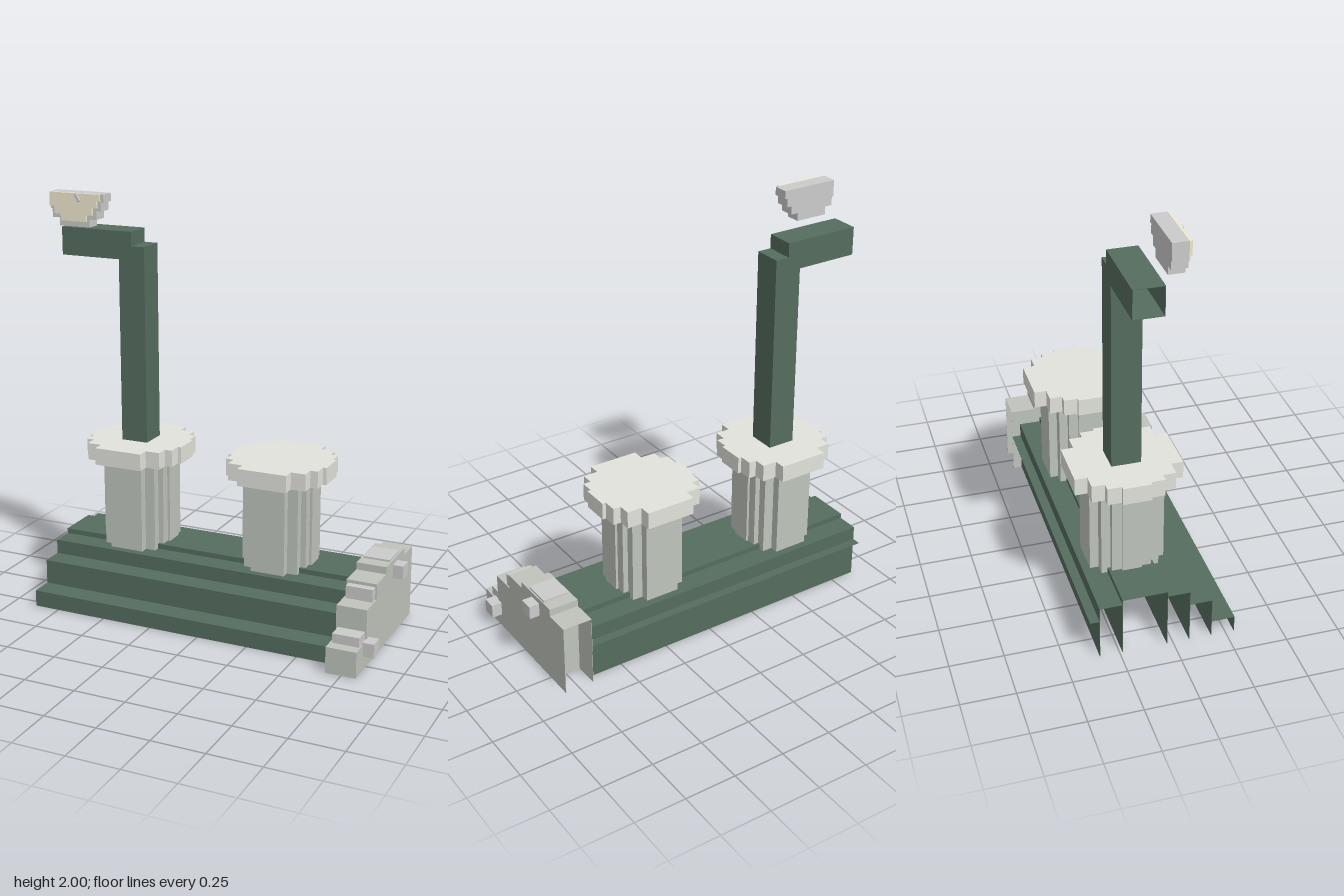
import * as THREE from 'three';
import { mergeGeometries } from 'three/addons/utils/BufferGeometryUtils.js';

const mat = (color) => new THREE.MeshStandardMaterial({ color, flatShading: true, side: THREE.DoubleSide });
const green = mat(0x556d5e), stone = mat(0xbfc4bc), pale = mat(0xe2e3dc), cream = mat(0xf0eacd), grey = mat(0xcccccc);
const CZ = -0.132; // axis of the stepped parts
const BACK = -0.385; // the shell is cut off here
const T = 0.002; // sheet thickness

// Box from its limits; a flat side becomes a thin sheet
function span(x0, x1, y0, y1, z0, z1) {
  const g = new THREE.BoxGeometry(Math.max(x1 - x0, T), Math.max(y1 - y0, T), Math.max(z1 - z0, T));
  return g.translate((x0 + x1) / 2, (y0 + y1) / 2, (z0 + z1) / 2);
}

function add(parent, name, geos, material) {
  const mesh = new THREE.Mesh(geos.length > 1 ? mergeGeometries(geos) : geos[0], material);
  mesh.name = name;
  parent.add(mesh);
  return mesh;
}

// Stepped half-drum shell, open below, with every riser running to the floor
function steppedShell(halves, tops, x0, x1, ends) {
  const geos = [];
  halves.forEach((h, i) => {
    const inner = halves[i + 1] ?? 0;
    for (const s of [1, -1]) {
      const z = CZ + s * h;
      const a = Math.max(Math.min(z, CZ + s * inner), BACK);
      const b = Math.max(z, CZ + s * inner);
      if (b <= BACK) continue;
      geos.push(span(x0, x1, tops[i] - T, tops[i], a, b));
      if (z > BACK) geos.push(span(x0, x1, 0, tops[i], s > 0 ? z - T : z, s > 0 ? z : z + T));
      for (const x of ends) geos.push(span(x, x + T, 0, tops[i], a, b));
    }
  });
  return geos;
}

// Upright stepped "round" prism
function steppedPrism(r, y0, y1) {
  const q = [[1, 0.265], [0.93, 0.265], [0.93, 0.53], [0.78, 0.53], [0.78, 0.77], [0.49, 0.77], [0.49, 1]];
  const flip = (sx, sy) => q.map(([x, y]) => new THREE.Vector2(x * r * sx, y * r * sy));
  const pts = [...flip(1, 1), ...flip(-1, 1).reverse(), ...flip(-1, -1), ...flip(1, -1).reverse()];
  const g = new THREE.ExtrudeGeometry(new THREE.Shape(pts), { depth: y1 - y0, bevelEnabled: false });
  return g.rotateX(-Math.PI / 2).translate(0, y0, 0);
}

export function createModel() {
  const model = new THREE.Group();

  // Stepped tank body, open at its far end
  add(model, 'tankBody', steppedShell([0.424, 0.315, 0.21, 0.105], [0.08, 0.2, 0.27, 0.295], -0.875, 0.675, []), green);

  // Flange on the end of the tank
  add(model, 'endFlange', steppedShell([0.515, 0.387, 0.26, 0.132], [0.125, 0.275, 0.35, 0.385], 0.675, 0.82, [0.675, 0.82 - T]), stone);

  // Nuts along the flange rim and bolts on its face
  add(model, 'flangeNuts', [
    span(0.685, 0.813, 0.34, 0.394, -0.2, -0.065),
    span(0.685, 0.813, 0.27, 0.335, 0.1, 0.165),
    span(0.685, 0.813, 0.12, 0.17, 0.25, 0.33),
  ], grey);
  add(model, 'flangeBolts', [
    span(0.815, 0.87, 0.295, 0.36, -0.165, -0.097),
    span(0.815, 0.87, 0.068, 0.135, 0.225, 0.295),
  ], grey);

  // Two capped columns
  for (const x of [-0.5, 0.247]) {
    const column = new THREE.Group();
    column.name = 'column';
    column.position.set(x, 0, CZ);
    add(column, 'columnShaft', [steppedPrism(0.174, 0.27, 0.715)], stone);
    add(column, 'columnCap', [steppedPrism(0.248, 0.712, 0.795)], pale);
    model.add(column);
  }

  // Elbow pipe: upright and a hollow arm
  const pipe = new THREE.Group();
  pipe.name = 'elbowPipe';
  const z0 = -0.2, z1 = -0.063;
  add(pipe, 'uprightPipe', [span(-0.57, -0.435, 0.79, 1.752, z0, z1)], green);
  add(pipe, 'pipeArm', [
    span(-0.875, -0.503, 1.82 - T, 1.82, z0, z1),
    span(-0.875, -0.503, 1.685, 1.685 + T, z0, z1),
    span(-0.875, -0.503, 1.685, 1.82, z0, z0 + T),
    span(-0.875, -0.503, 1.685, 1.82, z1 - T, z1),
    span(-0.503 - T, -0.503, 1.685, 1.82, z0, z1),
  ], green);
  model.add(pipe);

  // Half gauge: stepped casing, dial and needle, cut off at one side
  const gauge = new THREE.Group();
  gauge.name = 'gauge';
  const cx = -0.75;
  const tiers = (halves, ys, za, zb) => halves.map((h, i) =>
    span(Math.max(cx - h, -0.875), cx + h, ys[i], ys[i + 1] ?? 2, za, zb));
  add(gauge, 'gaugeCasing', tiers([0.08, 0.117, 0.142, 0.156], [1.842, 1.88, 1.92, 1.962], -0.042, 0.03), grey);
  add(gauge, 'gaugeDial', tiers([0.067, 0.1, 0.125, 0.14], [1.868, 1.9, 1.935, 1.968], 0.03, 0.042), cream);
  const needle = add(gauge, 'gaugeNeedle', [new THREE.BoxGeometry(0.014, 0.036, 0.012)], grey);
  needle.position.set(-0.723, 1.98, 0.047);
  needle.rotation.z = 0.5;
  model.add(gauge);

  return model;
}
